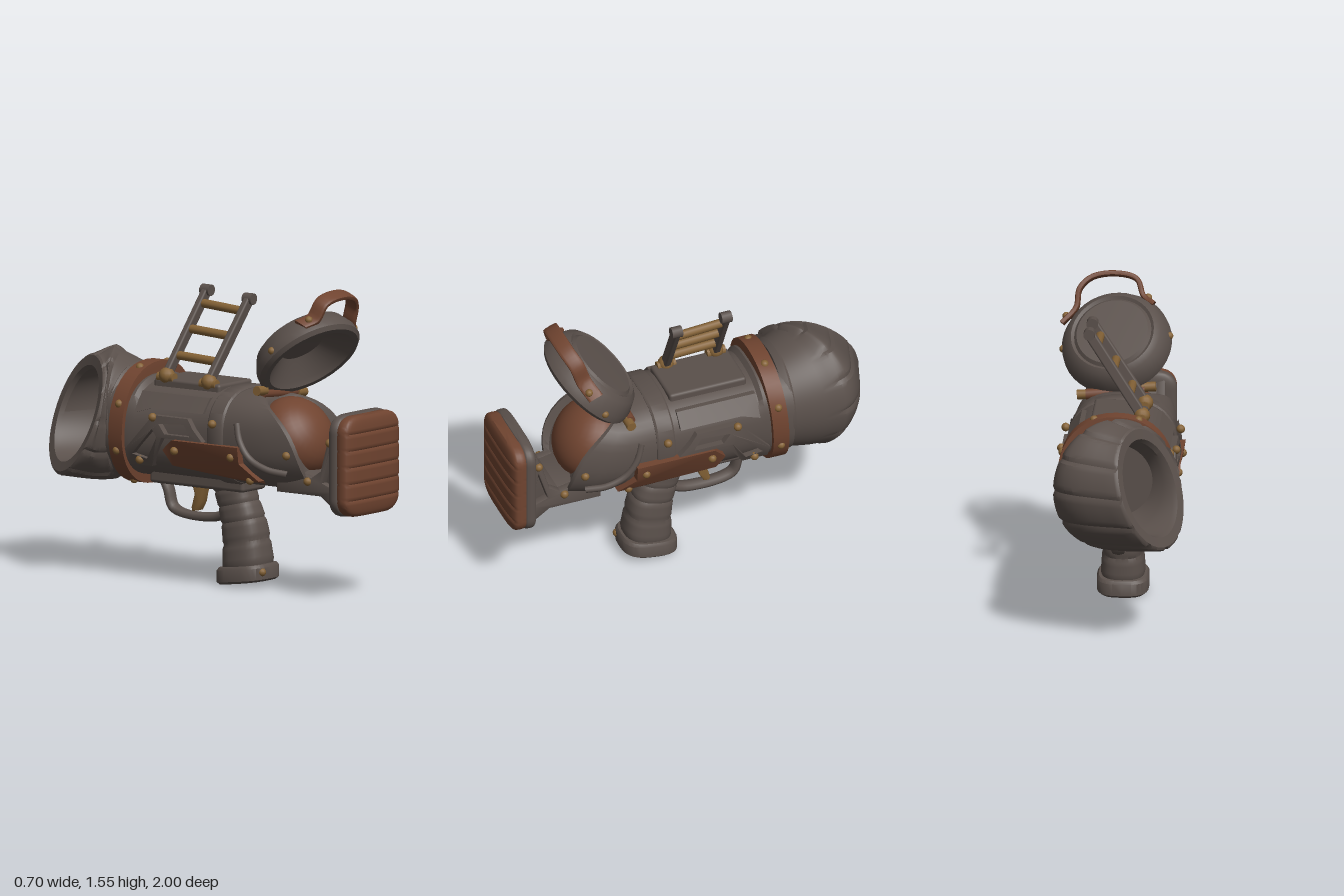
import * as THREE from 'three';
import { toCreasedNormals } from 'three/addons/utils/BufferGeometryUtils.js';
import { RoundedBoxGeometry } from 'three/addons/geometries/RoundedBoxGeometry.js';

const V = (x, y, z) => new THREE.Vector3(x, y, z);
const spow = (t, e) => Math.sign(t) * Math.abs(t) ** e;

// Closed cross-section: centre c, half axes u and v, squareness p, optional radius rule
function ring(c, u, v, n = 32, p = 2, mod = () => 1) {
  return Array.from({ length: n }, (_, i) => {
    const a = (i / n) * Math.PI * 2, k = mod(i);
    return c.clone().addScaledVector(u, k * spow(Math.cos(a), 2 / p)).addScaledVector(v, k * spow(Math.sin(a), 2 / p));
  });
}

// Solid through a list of rings, capped at both ends and always facing outward
function loft(rings, crease = 0.7) {
  const n = rings[0].length, pts = rings.flat(), idx = [];
  for (let r = 0; r < rings.length - 1; r++) for (let i = 0; i < n; i++) {
    const a = r * n + i, b = r * n + (i + 1) % n;
    idx.push(a, b, b + n, a, b + n, a + n);
  }
  for (const [r, flip] of [[0, true], [rings.length - 1, false]]) {
    const mid = rings[r].reduce((s, p) => s.add(p), V(0, 0, 0)).divideScalar(n);
    pts.push(mid);
    for (let i = 0; i < n; i++) {
      const a = r * n + i, b = r * n + (i + 1) % n;
      idx.push(pts.length - 1, flip ? b : a, flip ? a : b);
    }
  }
  let vol = 0;
  for (let i = 0; i < idx.length; i += 3) vol += pts[idx[i]].dot(pts[idx[i + 1]].clone().cross(pts[idx[i + 2]]));
  if (vol < 0) idx.reverse();
  const g = new THREE.BufferGeometry().setFromPoints(pts);
  g.setIndex(idx);
  return toCreasedNormals(g, crease);
}

// Plate drawn in side profile as [z, y], with thickness along x
function profile(pts, width, holes = [], bevel = 0) {
  const s = new THREE.Shape(pts.map(p => new THREE.Vector2(...p)));
  s.holes = holes.map(h => new THREE.Path(h.map(p => new THREE.Vector2(...p))));
  const g = new THREE.ExtrudeGeometry(s, {
    depth: width - 2 * bevel, bevelEnabled: bevel > 0, bevelSize: bevel, bevelThickness: bevel, bevelOffset: -bevel, bevelSegments: 2,
  });
  return toCreasedNormals(g.translate(0, 0, bevel - width / 2).rotateY(-Math.PI / 2), 0.6);
}

// Half width of the barrel at height y
const surf = y => 0.27 * Math.max(0, 1 - Math.min(1, Math.abs(y - 0.775) / 0.245) ** 2.5) ** 0.4;

// Bend a side plate around the barrel on side s
function wrap(g, s, lift) {
  const p = g.attributes.position;
  for (let i = 0; i < p.count; i++) p.setX(i, s * (surf(p.getY(i)) + (p.getX(i) * s > 0 ? lift : -0.04)));
  return toCreasedNormals(g, 0.6);
}

// Upright slab with rounded corners and optional cross grooves
function slab(z, depth, size, grooveDepth) {
  return loft(Array.from({ length: 49 }, (_, i) => {
    const t = i / 48, e = Math.max(0, 1 - Math.min(t, 1 - t) / 0.17), round = Math.sqrt(1 - e * e * 0.98);
    const groove = i % 8 === 0 && i > 0 && i < 48 ? grooveDepth : 0;
    return ring(V(0, 0.697 + 0.52 * size * (t - 0.5), z), V((0.14 + 0.092 * round) * size, 0, 0), V(0, 0, depth * (0.55 + 0.45 * round) - groove), 32, 4);
  }), 0.9);
}

export function createModel() {
  const model = new THREE.Group();
  const mat = (name, color) => Object.assign(new THREE.MeshStandardMaterial({ color }), { name });
  const metal = mat('dark metal', 0x5a504b), leather = mat('brown leather', 0x704430), brass = mat('brass', 0x846236);
  const add = (name, g, m) => {
    const mesh = new THREE.Mesh(g, m);
    mesh.name = name;
    model.add(mesh);
    return mesh;
  };
  // Place a part that runs along its own y from a to b
  const between = (name, g, a, b, m) => {
    const mesh = add(name, g, m);
    mesh.position.lerpVectors(a, b, 0.5);
    mesh.quaternion.setFromUnitVectors(V(0, 1, 0), b.clone().sub(a).normalize());
  };
  const rod = (name, a, b, r, m) => between(name, new THREE.CylinderGeometry(r, r, a.distanceTo(b), 10), a, b, m);
  const ball = (name, x, y, z, r = 0.022, m = brass) => add(name, new THREE.SphereGeometry(r, 12, 8), m).position.set(x, y, z);

  // Barrel, cut at a slant around the breech, with cheeks swelling beside the dome
  const barrelRing = (y, z, ru, rv, dz = 0, cheek = 0) => {
    const pts = ring(V(0, y, z), V(ru, 0, 0), V(0, rv, dz), 40, 2.5);
    return pts.map(p => p.addScaledVector(V(0, 0.57, 0.82), cheek * Math.max(0, 1 - ((p.y - y) / rv) ** 2)));
  };
  add('barrel', loft([
    barrelRing(0.78, -0.52, 0.275, 0.26), barrelRing(0.78, -0.36, 0.275, 0.26), barrelRing(0.775, -0.34, 0.265, 0.24),
    barrelRing(0.775, 0.26, 0.268, 0.243), barrelRing(0.77, 0.38, 0.265, 0.24, -0.05, 0.02),
    barrelRing(0.765, 0.46, 0.255, 0.237, -0.11, 0.06), barrelRing(0.765, 0.52, 0.235, 0.23, -0.16, 0.11),
    barrelRing(0.765, 0.525, 0.215, 0.215, -0.15, 0.115), barrelRing(0.765, 0.52, 0.195, 0.2, -0.14, 0.08),
  ]), metal);
  add('collar', loft([0.13, 0.14, 0.22, 0.23].map((z, i) => {
    const k = i % 3 ? 0.01 : 0.002;
    return barrelRing(0.775, z, 0.268 + k, 0.243 + k);
  })), metal);
  const dome = add('breechDome', new THREE.SphereGeometry(1, 32, 16), leather);
  dome.scale.set(0.21, 0.175, 0.215);
  dome.position.set(0, 0.79, 0.495);
  dome.quaternion.setFromUnitVectors(V(0, 1, 0), V(0, 0.57, 0.82));

  // Raised plates on the top and underside
  add('topPlate', new RoundedBoxGeometry(0.28, 0.06, 0.42, 2, 0.015), metal).position.set(0, 1.005, -0.1);
  add('underRail', new RoundedBoxGeometry(0.2, 0.09, 0.6, 2, 0.02), metal).position.set(0, 0.53, -0.07);

  // Leather band around the barrel
  const bandRing = (z, r) => ring(V(0, 0.785, z), V(r, 0, 0), V(0, r * 1.06, 0.02), 40, 2.2);
  add('barrelBand', loft([bandRing(-0.48, 0.27), bandRing(-0.478, 0.297), bandRing(-0.392, 0.297), bandRing(-0.39, 0.27)]), leather);
  for (let i = 0; i < 8; i++) {
    const a = (i + 0.5) / 8 * Math.PI * 2;
    ball('bandRivet', 0.295 * Math.cos(a), 0.785 + 0.312 * Math.sin(a), -0.435 + 0.02 * Math.sin(a));
  }

  // Elbow muzzle: smooth sleeve, ribbed padding, flat rim, hollow inside
  const centres = [V(0, 0.79, -0.48), V(0, 0.79, -0.52), V(0.012, 0.805, -0.65), V(-0.045, 0.81, -0.695), V(-0.18, 0.81, -0.755)];
  const us = [V(0.265, 0, 0), V(0.28, 0, -0.01), V(0.288, 0, -0.14), V(0.28, 0, -0.185), V(0.138, 0, -0.236)];
  const vs = [V(0, 0.275, 0), V(0, 0.3, 0), V(0, 0.335, 0), V(0.05, 0.337, 0.02), V(0.092, 0.306, 0.053)];
  const curves = [centres, us, vs].map(a => new THREE.CatmullRomCurve3(a));
  const at = t => curves.map(c => c.getPoint(t));
  const rib = i => (i % 8 === 0 ? 0.97 : 1);
  const mouth = at(1), out = V(-0.82, 0.33, -0.47);
  const mouthRing = (k, push, mod) => ring(mouth[0].clone().addScaledVector(out, push), mouth[1].clone().multiplyScalar(k), mouth[2].clone().multiplyScalar(k), 96, 2, mod);
  const muzzle = Array.from({ length: 21 }, (_, i) => ring(...at(i / 20), 96, 2, i > 9 ? rib : () => (i > 4 ? 0.965 : 1)));
  const deep = at(0.72);
  muzzle.push(mouthRing(0.985, 0.01, rib), mouthRing(0.95, 0.018), mouthRing(0.79, 0.014), mouthRing(0.75, -0.01),
    ring(deep[0], deep[1].clone().multiplyScalar(0.72), deep[2].clone().multiplyScalar(0.72), 96),
    ring(V(0, 0.79, -0.53), V(0.19, 0, 0), V(0, 0.19, 0), 96));
  add('muzzle', loft(muzzle, 0.5), metal);

  // Leather grips, strut frames, hoses and rivets on both sides
  for (const s of [1, -1]) {
    add('sidePanel', wrap(profile([[0.4, 0.53], [0.43, 0.58], [0.35, 0.67], [0.35, 0.755], [-0.07, 0.755], [-0.13, 0.7], [-0.09, 0.62], [0.27, 0.58]], 0.1), s, 0.038), leather);
    add('sideFrame', wrap(profile(
      [[0.12, 0.76], [0.06, 0.82], [0.02, 0.87], [-0.2, 0.87], [-0.38, 0.68], [-0.38, 0.6], [-0.24, 0.6], [-0.14, 0.76]], 0.1,
      [[[0.03, 0.8], [0.04, 0.78], [-0.12, 0.78], [-0.16, 0.83], [0, 0.84]], [[-0.2, 0.8], [-0.17, 0.76], [-0.25, 0.64], [-0.34, 0.66]]]), s, 0.03), metal);
    add('upperPlate', wrap(profile([[0.1, 0.9], [0.1, 0.975], [-0.33, 0.975], [-0.33, 0.87], [-0.23, 0.9]], 0.1), s, 0.018), metal);
    const hose = new THREE.CatmullRomCurve3([V(s * 0.215, 0.63, 0.6), V(s * 0.255, 0.65, 0.5), V(s * 0.27, 0.7, 0.4), V(s * 0.27, 0.78, 0.34), V(s * 0.255, 0.87, 0.31)]);
    add('sideHose', new THREE.TubeGeometry(hose, 20, 0.018, 8), metal);
    for (const [y, z] of [[0.7, 0.3], [0.7, -0.06], [0.58, 0.37], [0.86, 0.18], [0.86, -0.2], [0.63, -0.3]]) ball('sideRivet', s * (surf(y) + 0.03), y, z);
    ball('breechRivet', s * 0.235, 0.73, 0.61);
    ball('stockRivet', s * 0.175, 0.6, 0.7);
    ball('stockRivet', s * 0.175, 0.81, 0.84);
  }

  // Shoulder stock with a recessed triangle on each side
  const stock = [[0.5, 0.53], [0.78, 0.53], [0.88, 0.46], [0.92, 0.46], [0.92, 0.93], [0.87, 0.93], [0.82, 0.8], [0.78, 0.66], [0.72, 0.62], [0.58, 0.65], [0.5, 0.68]];
  add('stockCore', profile(stock, 0.27, [], 0.01), metal);
  for (const s of [1, -1]) add('stockSide', profile(stock, 0.05, [[[0.84, 0.76], [0.79, 0.6], [0.87, 0.57]]], 0.008).translate(s * 0.15, 0, 0), metal);
  add('stockPlate', slab(0.9, 0.042, 1, 0), metal);
  add('shoulderPad', slab(0.95, 0.05, 0.985, 0.007), leather);

  // Pistol grip with finger grooves, and its base
  const gripPath = new THREE.CatmullRomCurve3([V(0.095, 0.56, 0.08), V(0.09, 0.44, 0.12), V(0.1, 0.3, 0.165), V(0.115, 0.1, 0.19)]);
  const grip = [];
  for (let i = 0; i <= 30; i++) {
    const c = gripPath.getPoint(i / 30), k = i > 5 && i % 6 === 0 ? 0.94 : 1;
    grip.push(ring(V(0, c.y, c.z), V(c.x * k, 0, 0), V(0, 0.025 * k, (c.x + 0.012) * k), 28, 2.6));
  }
  add('grip', loft(grip), metal);
  add('gripBase', loft([[0.018, 0.9], [0.03, 1], [0.09, 1], [0.105, 0.92]].map(([y, k]) =>
    ring(V(0, y, 0.185), V(0.133 * k, 0, 0), V(0, 0.018, 0.148 * k), 28, 3))), metal);
  ball('gripRivet', -0.06, 0.085, 0.32, 0.022);

  // Trigger and guard
  const guard = new THREE.CatmullRomCurve3([V(0, 0.36, 0.06), V(0, 0.33, -0.02), V(0, 0.33, -0.22), V(0, 0.36, -0.29), V(0, 0.45, -0.32), V(0, 0.52, -0.36)]);
  add('triggerGuard', new THREE.TubeGeometry(guard, 30, 0.024, 8).scale(1.6, 1, 1), metal);
  add('trigger', profile([[-0.06, 0.52], [-0.16, 0.52], [-0.135, 0.44], [-0.155, 0.37], [-0.15, 0.35], [-0.12, 0.355], [-0.095, 0.4], [-0.085, 0.45]], 0.06, [], 0.008), brass);

  // Ladder sight leaning to one side
  const foot = [V(-0.12, 1.04, 0.03), V(-0.12, 1.05, -0.24)], tip = [V(0.15, 1.44, 0.08), V(0.15, 1.46, -0.19)];
  for (let i = 0; i < 2; i++) {
    const f = foot[i], t = tip[i], along = V(0, 0, 0.028);
    between('sightRail', new RoundedBoxGeometry(0.055, f.distanceTo(t), 0.036, 2, 0.01), f, t, metal);
    rod('sightRailTip', t.clone().sub(along), t.clone().add(along), 0.03, metal);
    ball('sightHinge', ...f.toArray(), 0.042);
    rod('sightPin', f.clone().add(V(0, -0.01, -0.05)), f.clone().add(V(0, -0.01, 0.05)), 0.026, brass);
  }
  for (const t of [0.24, 0.55, 0.85]) rod('sightRung', foot[0].clone().lerp(tip[0], t), foot[1].clone().lerp(tip[1], t), 0.023, brass);

  // Open lid, hollow toward the front
  const lid = [[0, 0.035], [0.12, 0.025], [0.215, -0.055], [0.235, -0.08], [0.265, -0.08], [0.283, -0.06], [0.28, -0.02], [0.245, 0.05], [0.215, 0.07], [0.2, 0.06], [0.185, 0.075], [0, 0.08]];
  const lidMesh = add('lid', toCreasedNormals(new THREE.LatheGeometry(lid.map(p => new THREE.Vector2(...p)), 40), 0.6), metal);
  lidMesh.position.set(0.06, 1.235, 0.5);
  lidMesh.quaternion.setFromUnitVectors(V(0, 1, 0), V(0.16, 0.72, -0.675).normalize());
  lidMesh.updateMatrix();
  for (const s of [1, -1]) ball('lidRivet', ...V(s * 0.275, -0.03, 0).applyMatrix4(lidMesh.matrix).toArray(), 0.02);
  rod('lidHingeBar', V(-0.1, 1.01, 0.35), V(0.2, 0.985, 0.35), 0.028, leather);
  for (const [x, y] of [[-0.12, 1.03], [0.21, 0.985]]) rod('lidHinge', V(x - 0.035, y, 0.36), V(x + 0.035, y - 0.005, 0.36), 0.025, brass);

  // Leather strap handle on the lid
  const strap = new THREE.CatmullRomCurve3([V(-0.13, 1.39, 0.62), V(-0.075, 1.42, 0.66), V(-0.04, 1.5, 0.69), V(0.07, 1.525, 0.7), V(0.19, 1.505, 0.69), V(0.25, 1.45, 0.66), V(0.265, 1.36, 0.63), V(0.335, 1.29, 0.59)]);
  const across = V(0, -0.38, 0.92);
  add('lidStrap', loft(Array.from({ length: 33 }, (_, i) => {
    const side = strap.getTangent(i / 32).cross(across).normalize();
    return ring(strap.getPoint(i / 32), across.clone().multiplyScalar(0.04), side.multiplyScalar(0.014), 16, 4);
  })), leather);
  ball('strapRivet', -0.1, 1.415, 0.65, 0.02);
  ball('strapRivet', 0.315, 1.32, 0.62, 0.02);
  return model;
}
